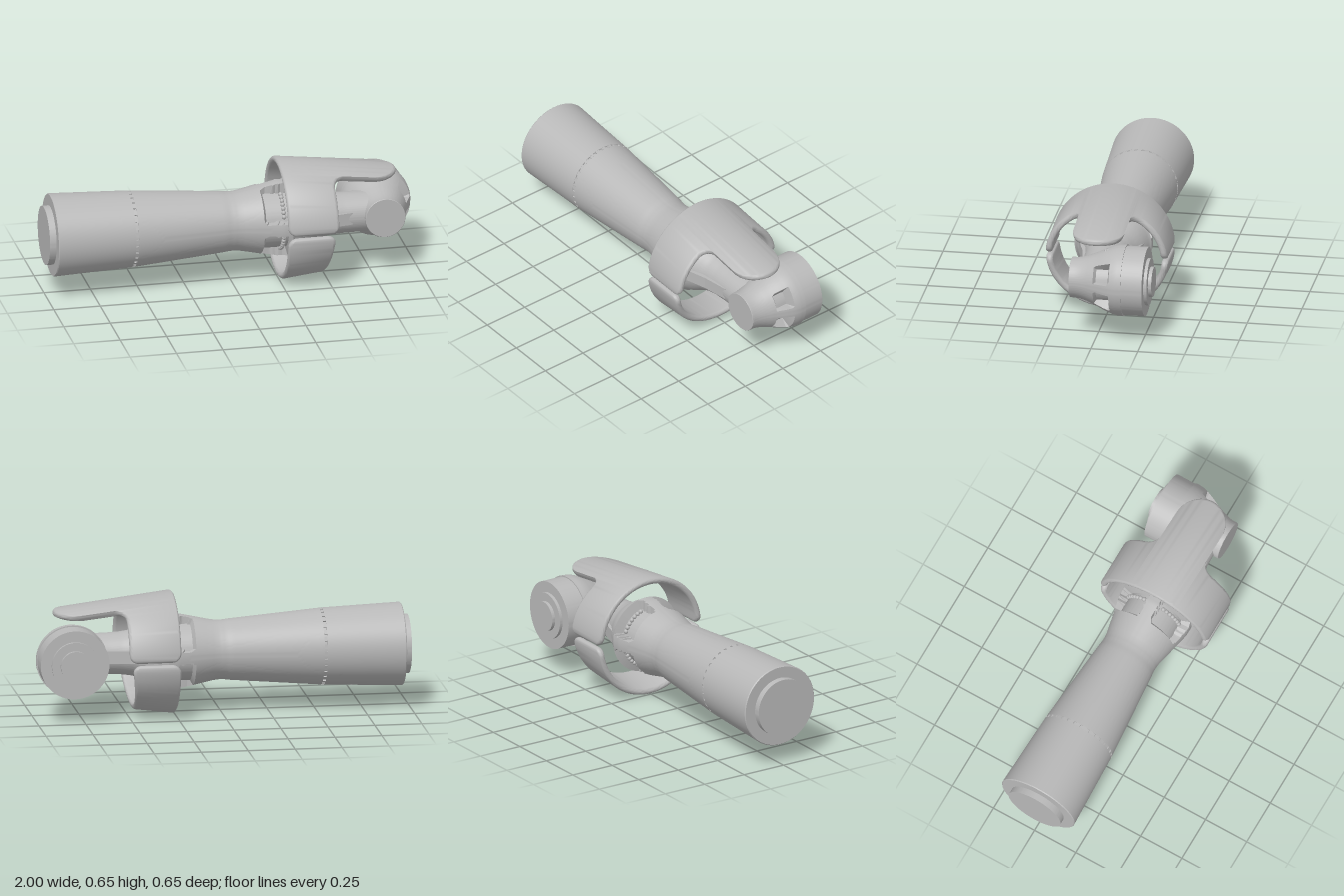
import * as THREE from 'three';
import { toCreasedNormals } from 'three/addons/utils/BufferGeometryUtils.js';

const CY = 0.325; // height of the arm axis
const JX = 0.81; // x of the elbow joint axis

const grey = new THREE.MeshStandardMaterial({ color: 0xb8b8b8 });
grey.name = 'casing grey';

function add(parent, name, geo, x = 0, y = 0, z = 0) {
  const mesh = new THREE.Mesh(geo, grey);
  mesh.name = name;
  mesh.position.set(x, y, z);
  parent.add(mesh);
  return mesh;
}

// Turned solid from [axial, radius] pairs, resampled finely so pockets can be pressed in
function turned(profile, segments, alongX, press) {
  const pts = [];
  profile.forEach(([a, r], i) => {
    if (i > 0) {
      const [pa, pr] = profile[i - 1];
      const n = Math.max(1, Math.ceil(Math.abs(a - pa) / 0.015));
      for (let k = 1; k < n; k++) pts.push(new THREE.Vector2(pr + (r - pr) * k / n, pa + (a - pa) * k / n));
    }
    pts.push(new THREE.Vector2(r, a));
  });
  const geo = new THREE.LatheGeometry(pts, segments);
  if (alongX) geo.rotateZ(-Math.PI / 2);
  else geo.rotateX(Math.PI / 2);
  const pos = geo.attributes.position;
  const v = new THREE.Vector3();
  for (let i = 0; i < pos.count; i++) {
    v.fromBufferAttribute(pos, i);
    press(v);
    pos.setXYZ(i, v.x, v.y, v.z);
  }
  return toCreasedNormals(geo, 0.5);
}

// Curved shell around the x axis; its rounded section is swept from angle t0 to t1
function clipShell(t0, t1, x0, xEnd, extraAngles) {
  const RZ = 0.326, TH = 0.035, TIP = 0.05, E = TH / 2;
  const angles = [...extraAngles];
  for (let i = 0; i <= 72; i++) angles.push(t0 + (t1 - t0) * i / 72);
  for (const d of [0.002, 0.01, 0.025, 0.05, 0.08, 0.12]) angles.push(t0 + d, t1 - d);
  angles.sort((a, b) => a - b);

  const verts = [], idx = [], ROUND = 8, M = 2 * (ROUND + 1);
  angles.forEach((t) => {
    const d = Math.min(t - t0, t1 - t) * RZ;
    const k = Math.max(0, 1 - d / TIP);
    const inset = TIP * (1 - Math.sqrt(1 - k * k));
    const ke = Math.max(0, 1 - d / E);
    const half = E * Math.sqrt(Math.max(0, 1 - ke * ke));
    const a = x0 + inset + E, b = xEnd(t, RZ) - inset - E;
    for (let j = 0; j < M; j++) {
      const right = j <= ROUND;
      const q = Math.PI / 2 - Math.PI * (right ? j : j - 1) / ROUND;
      const x = (right ? b : a) + E * Math.cos(q);
      const h = half * Math.sin(q) - E;
      const ry = 0.325 - 0.13 * (x - 0.26) + h;
      verts.push(x, CY + ry * Math.sin(t), (RZ + h) * Math.cos(t));
    }
  });
  for (let i = 0; i < angles.length - 1; i++) {
    for (let j = 0; j < M; j++) {
      const p = i * M + j, q = i * M + (j + 1) % M;
      idx.push(p, q, p + M, q, q + M, p + M);
    }
  }
  const geo = new THREE.BufferGeometry();
  geo.setAttribute('position', new THREE.Float32BufferAttribute(verts, 3));
  geo.setIndex(idx);
  return toCreasedNormals(geo, 0.8);
}

export function createModel() {
  const model = new THREE.Group();
  model.name = 'robotForearm';

  // Long tube with a waist, flare and neck; four pockets sit in the flare
  const tube = [
    [-1, 0], [-1, 0.157], [-0.965, 0.157], [-0.965, 0.216], [-0.96, 0.22],
    [-0.546, 0.203], [-0.546, 0.195], [-0.53, 0.195], [-0.53, 0.202],
    [-0.05, 0.162], [-0.02, 0.158], [0.01, 0.157], [0.04, 0.16], [0.08, 0.168],
    [0.25, 0.205], [0.3, 0.206], [0.305, 0.2], [0.36, 0.175], [0.42, 0.14],
    [0.47, 0.122], [0.53, 0.113], [0.6, 0.109], [0.75, 0.107],
  ];
  const body = turned(tube, 120, true, (v) => {
    const a = Math.atan2(Math.abs(v.y), Math.abs(v.z)) * 180 / Math.PI;
    const r = Math.hypot(v.y, v.z);
    if (v.x > 0.165 && v.x < 0.29 && a > 12 && a < 78) {
      v.y *= 0.155 / r;
      v.z *= 0.155 / r;
    }
  });
  add(model, 'forearmTube', body, 0, CY, 0);

  // Row of bolt heads in each flare pocket
  const bead = new THREE.SphereGeometry(0.012, 10, 8);
  for (let quarter = 0; quarter < 4; quarter++) {
    for (let i = 0; i < 7; i++) {
      const a = THREE.MathUtils.degToRad(quarter * 90 + 21 + i * 8);
      add(model, 'pocketBolt', bead, 0.26, CY + 0.162 * Math.sin(a), 0.162 * Math.cos(a));
    }
  }

  // Segments around the seam groove
  for (let i = 0; i < 32; i++) {
    const a = i / 32 * Math.PI * 2;
    const dash = add(model, 'seamSegment', new THREE.BoxGeometry(0.016, 0.012, 0.024),
      -0.538, CY + 0.196 * Math.cos(a), 0.196 * Math.sin(a));
    dash.rotation.x = a;
  }

  // Small plugs under the tube
  const plug = new THREE.CylinderGeometry(0.013, 0.013, 0.02, 16);
  add(model, 'lowerPlug', plug, -0.7, 0.123, 0);
  add(model, 'lowerPlug', plug, -0.86, 0.118, 0);

  // Side ribs on the neck
  const ribShape = new THREE.Shape();
  [[0.28, 0], [0.64, 0], [0.64, 0.105], [0.5, 0.13], [0.28, 0.198]]
    .forEach(([x, y], i) => (i ? ribShape.lineTo(x, y) : ribShape.moveTo(x, y)));
  for (const side of [0, Math.PI]) {
    const rib = new THREE.ExtrudeGeometry(ribShape, { depth: 0.066, bevelEnabled: false });
    rib.translate(0, 0, -0.033);
    rib.rotateX(Math.PI / 2 + side);
    add(model, 'neckRib', rib, 0, CY, 0);
  }

  // Elbow joint turned around z, with two pockets facing outward
  const elbow = [
    [-0.303, 0], [-0.303, 0.08], [-0.285, 0.08], [-0.285, 0.125], [-0.268, 0.125],
    [-0.268, 0.183], [-0.155, 0.183], [-0.155, 0.189], [-0.12, 0.187], [-0.09, 0.18],
    [-0.05, 0.164], [0, 0.14], [0.05, 0.12], [0.08, 0.111], [0.105, 0.107],
    [0.133, 0.107], [0.135, 0.105], [0.135, 0],
  ];
  const joint = turned(elbow, 120, false, (v) => {
    const a = Math.abs(Math.atan2(v.y, v.x)) * 180 / Math.PI;
    const r = Math.hypot(v.x, v.y);
    if (v.z > -0.077 && v.z < -0.008 && a > 11 && a < 46) {
      v.x *= 0.12 / r;
      v.y *= 0.12 / r;
    }
  });
  add(model, 'elbowJoint', joint, JX, CY, 0);

  // Screw bosses above and below on the joint
  for (const s of [-1, 1]) {
    const boss = new THREE.CylinderGeometry(0.023, 0.023, 0.08, 24).rotateX(Math.PI / 2);
    add(model, 'screwBoss', boss, JX, CY + s * 0.147, -0.09);
    const head = new THREE.TorusGeometry(0.019, 0.007, 8, 24);
    add(model, 'screwRim', head, JX, CY + s * 0.147, -0.05);
  }

  // Upper clip with a rounded tongue reaching over the joint
  const W = 0.138, F = 0.07;
  const upperEnd = (t, rz) => {
    const z = Math.abs(Math.cos(t) * rz);
    if (z < W) return 0.752 + Math.sqrt(W * W - z * z);
    const k = Math.max(0, 1 - (z - W) / F);
    return 0.525 + F * (1 - Math.sqrt(1 - k * k));
  };
  const extra = [];
  for (const z of [0.12, 0.13, 0.135, 0.1375, 0.1385, 0.142, 0.148, 0.157]) {
    const t = Math.acos(z / 0.326);
    extra.push(t, Math.PI - t);
  }
  add(model, 'upperClip', clipShell(0.02, Math.PI - 0.02, 0.25, upperEnd, extra));

  // Lower clip, slightly shorter underneath
  const lowerEnd = (t) => 0.51 - 0.035 * Math.abs(Math.sin(t));
  add(model, 'lowerClip', clipShell(Math.PI + 0.02, 2 * Math.PI - 0.02, 0.25, lowerEnd, []));

  return model;
}
